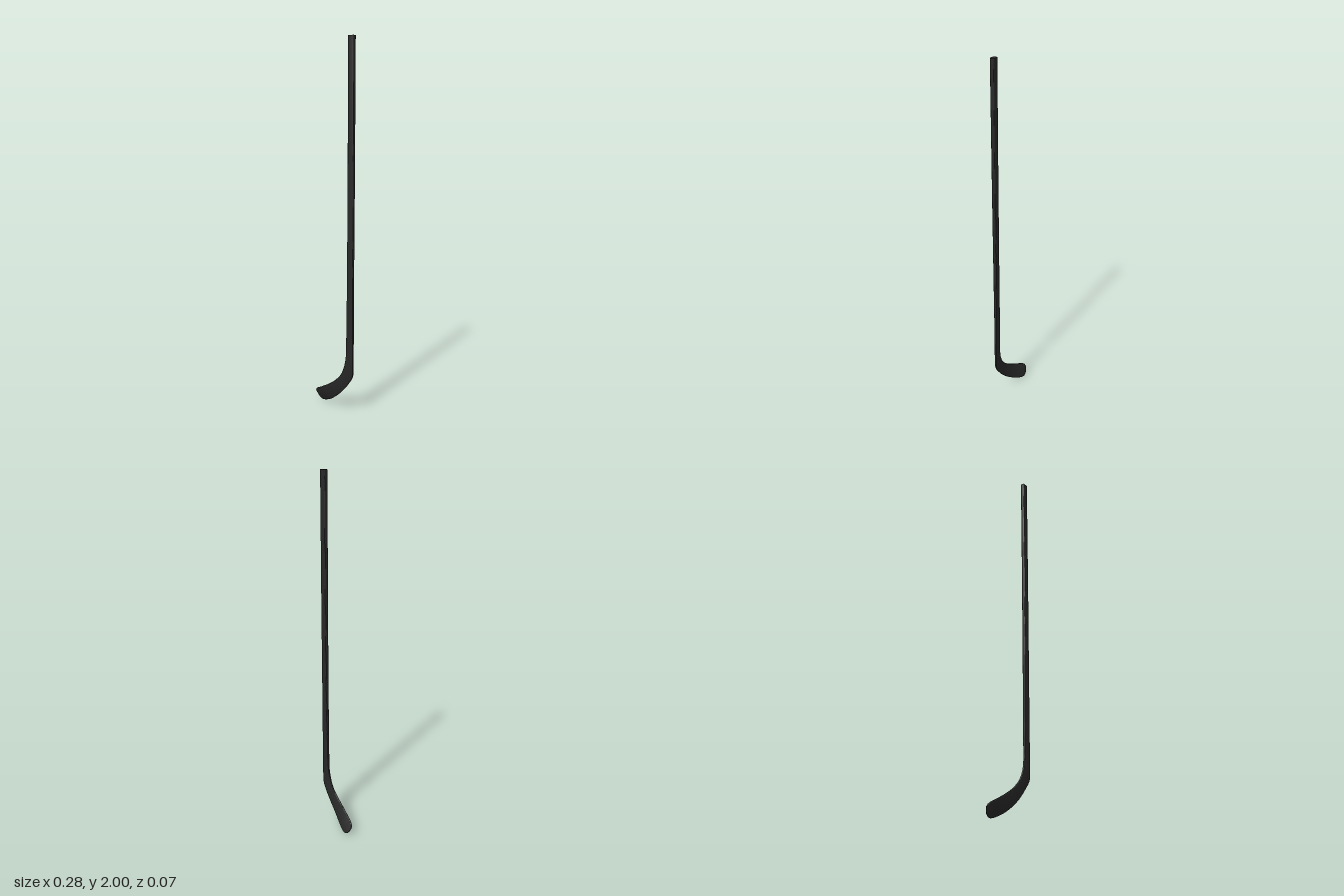
import * as THREE from 'three';
import { toCreasedNormals } from 'three/addons/utils/BufferGeometryUtils.js';

// Cross-sections from butt to toe: inner edge xyz, outer edge xyz, thickness
const SECTIONS = [
  [0.105, 2.0, 0.024, 0.140, 2.0, 0.024, 0.023],
  [0.105, 1.3, 0.024, 0.140, 1.3, 0.024, 0.021],
  [0.102, 0.7, 0.024, 0.139, 0.7, 0.024, 0.018],
  [0.098, 0.42, 0.024, 0.140, 0.40, 0.024, 0.014],
  [0.096, 0.33, 0.025, 0.141, 0.26, 0.025, 0.011],
  [0.085, 0.265, 0.026, 0.138, 0.212, 0.024, 0.009],
  [0.060, 0.208, 0.024, 0.110, 0.165, 0.019, 0.009],
  [0.018, 0.163, 0.021, 0.065, 0.110, 0.013, 0.009],
  [-0.030, 0.128, 0.014, 0.015, 0.064, 0.003, 0.009],
  [-0.075, 0.101, 0.005, -0.035, 0.028, -0.014, 0.009],
  [-0.105, 0.084, -0.002, -0.072, 0.010, -0.028, 0.009],
  [-0.125, 0.073, -0.010, -0.098, 0.003, -0.034, 0.008],
  [-0.138, 0.061, -0.017, -0.117, 0.008, -0.034, 0.007],
  [-0.142, 0.048, -0.024, -0.131, 0.022, -0.033, 0.004],
];
const LAST = SECTIONS.length - 1;
const NECK = 5; // section where the shaft becomes the blade
const STEPS = 6; // rings between two sections

const curve = (pick) => new THREE.CatmullRomCurve3(SECTIONS.map(pick), false, 'centripetal');
const inner = curve((s) => new THREE.Vector3(s[0], s[1], s[2]));
const outer = curve((s) => new THREE.Vector3(s[3], s[4], s[5]));

const middle = (t) => inner.getPoint(t).add(outer.getPoint(t)).multiplyScalar(0.5);

function thickness(t) {
  const f = t * LAST;
  const i = Math.min(Math.floor(f), LAST - 1);
  return THREE.MathUtils.lerp(SECTIONS[i][6], SECTIONS[i + 1][6], f - i);
}

// Rounded rectangle ring; the corners grow rounder along the blade
function ring(t) {
  const centre = middle(t);
  const across = outer.getPoint(t).sub(inner.getPoint(t));
  const width = across.length();
  across.normalize();
  const along = middle(Math.min(1, t + 0.005)).sub(middle(Math.max(0, t - 0.005)));
  const normal = along.cross(across).normalize();
  const depth = thickness(t);
  const round = THREE.MathUtils.clamp((t * LAST - 3) / 3, 0, 1);
  const r = depth * THREE.MathUtils.lerp(0.2, 0.48, round);
  const points = [];
  for (let corner = 0; corner < 4; corner++) {
    const su = corner === 0 || corner === 3 ? 1 : -1;
    const sv = corner < 2 ? 1 : -1;
    for (let k = 0; k < 4; k++) {
      const a = (corner + k / 3) * Math.PI / 2;
      const u = su * (width / 2 - r) + r * Math.cos(a);
      const v = sv * (depth / 2 - r) + r * Math.sin(a);
      points.push(centre.clone().addScaledVector(across, u).addScaledVector(normal, v));
    }
  }
  return points;
}

// Skin over the rings between two sections, closed at both ends
function loft(from, to) {
  const positions = [];
  const index = [];
  const count = (to - from) * STEPS;
  const n = 16;
  for (let i = 0; i <= count; i++) {
    for (const p of ring((from + i / STEPS) / LAST)) positions.push(p.x, p.y, p.z);
  }
  for (let i = 0; i < count; i++) {
    for (let j = 0; j < n; j++) {
      const a = i * n + j;
      const b = i * n + (j + 1) % n;
      index.push(a, b, a + n, b, b + n, a + n);
    }
  }
  const end = count * n;
  for (let j = 1; j < n - 1; j++) {
    index.push(0, j + 1, j, end, end + j, end + j + 1);
  }
  const geometry = new THREE.BufferGeometry();
  geometry.setAttribute('position', new THREE.Float32BufferAttribute(positions, 3));
  geometry.setIndex(index);
  return toCreasedNormals(geometry, 0.7);
}

export function createModel() {
  const model = new THREE.Group();
  model.name = 'hockeyStick';
  const charcoal = new THREE.MeshStandardMaterial({ color: 0x272727 });
  charcoal.name = 'charcoal';

  // Straight tapering shaft, then the curved and twisted blade
  for (const [name, from, to] of [['shaft', 0, NECK], ['blade', NECK, LAST]]) {
    const mesh = new THREE.Mesh(loft(from, to), charcoal);
    mesh.name = name;
    model.add(mesh);
  }
  return model;
}
